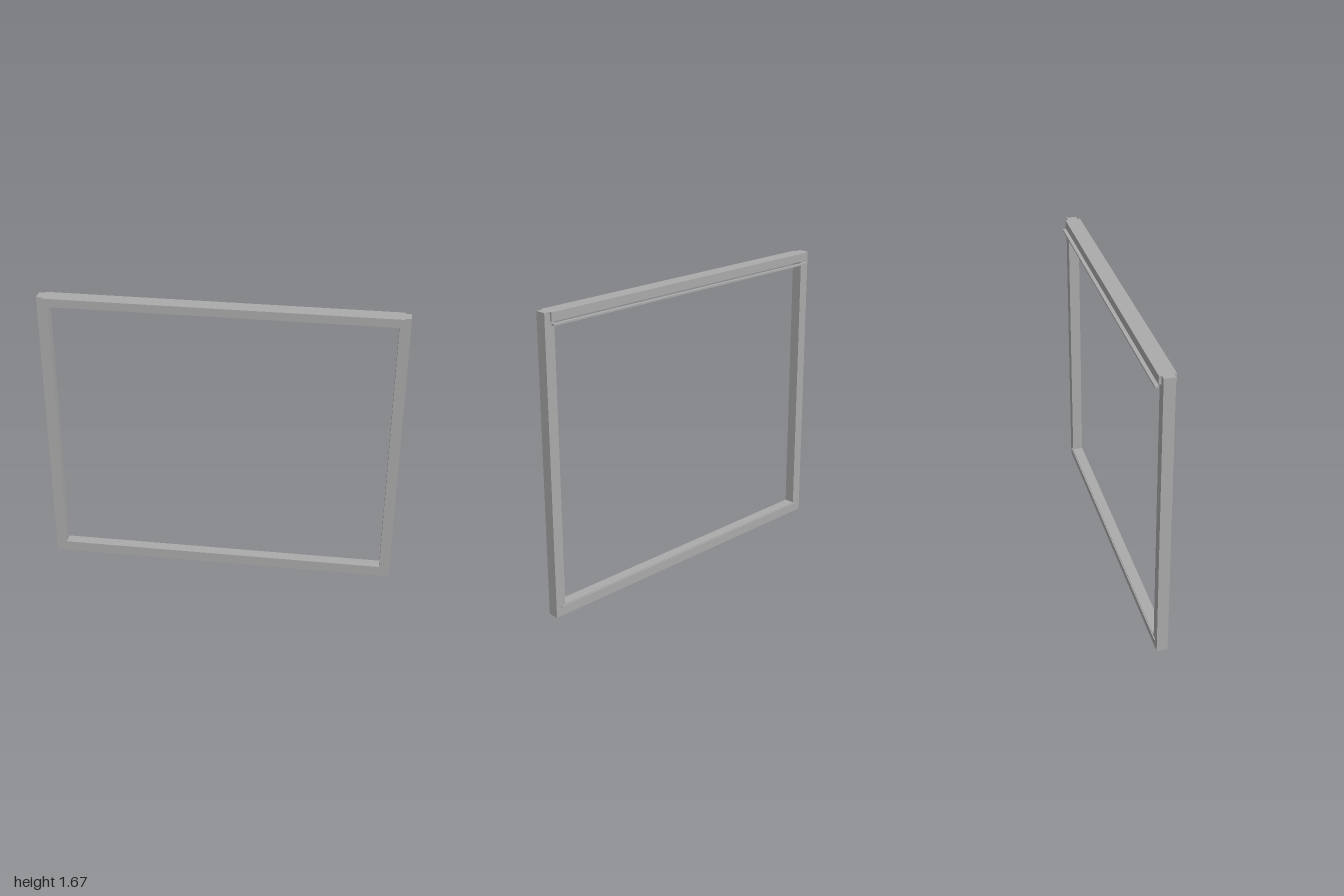
import * as THREE from 'three';

export function createModel() {
  const model = new THREE.Group();
  const grey = new THREE.MeshStandardMaterial({ color: 0xaaaaaa });
  grey.name = 'grey metal';

  // Box given by its minimum and maximum corners
  function bar(name, [x0, y0, z0], [x1, y1, z1]) {
    const mesh = new THREE.Mesh(new THREE.BoxGeometry(x1 - x0, y1 - y0, z1 - z0), grey);
    mesh.position.set((x0 + x1) / 2, (y0 + y1) / 2, (z0 + z1) / 2);
    mesh.name = name;
    model.add(mesh);
  }

  const height = 1.675, inner = 0.94, back = -0.023, front = 0.038, end = 0.966;

  // U-shaped frame: two posts joined by the bottom rail
  const outline = new THREE.Shape([
    [-1, 0], [1, 0], [1, height], [inner, height],
    [inner, 0.062], [-inner, 0.062], [-inner, height], [-1, height],
  ].map(([x, y]) => new THREE.Vector2(x, y)));
  const frame = new THREE.Mesh(
    new THREE.ExtrudeGeometry(outline, { depth: front - back, bevelEnabled: false }), grey);
  frame.position.z = back;
  frame.name = 'frame';
  model.add(frame);

  // Deeper header box across the top
  bar('header', [-end, 1.627, -0.036], [end, height, 0.053]);

  // Thin rail hanging behind the header, and a fine strip behind the bottom rail
  bar('upperBackRail', [-end, 1.609, -0.053], [end, 1.619, -0.033]);
  bar('lowerBackStrip', [-end, 0.05, -0.029], [end, 0.058, back]);

  return model;
}
